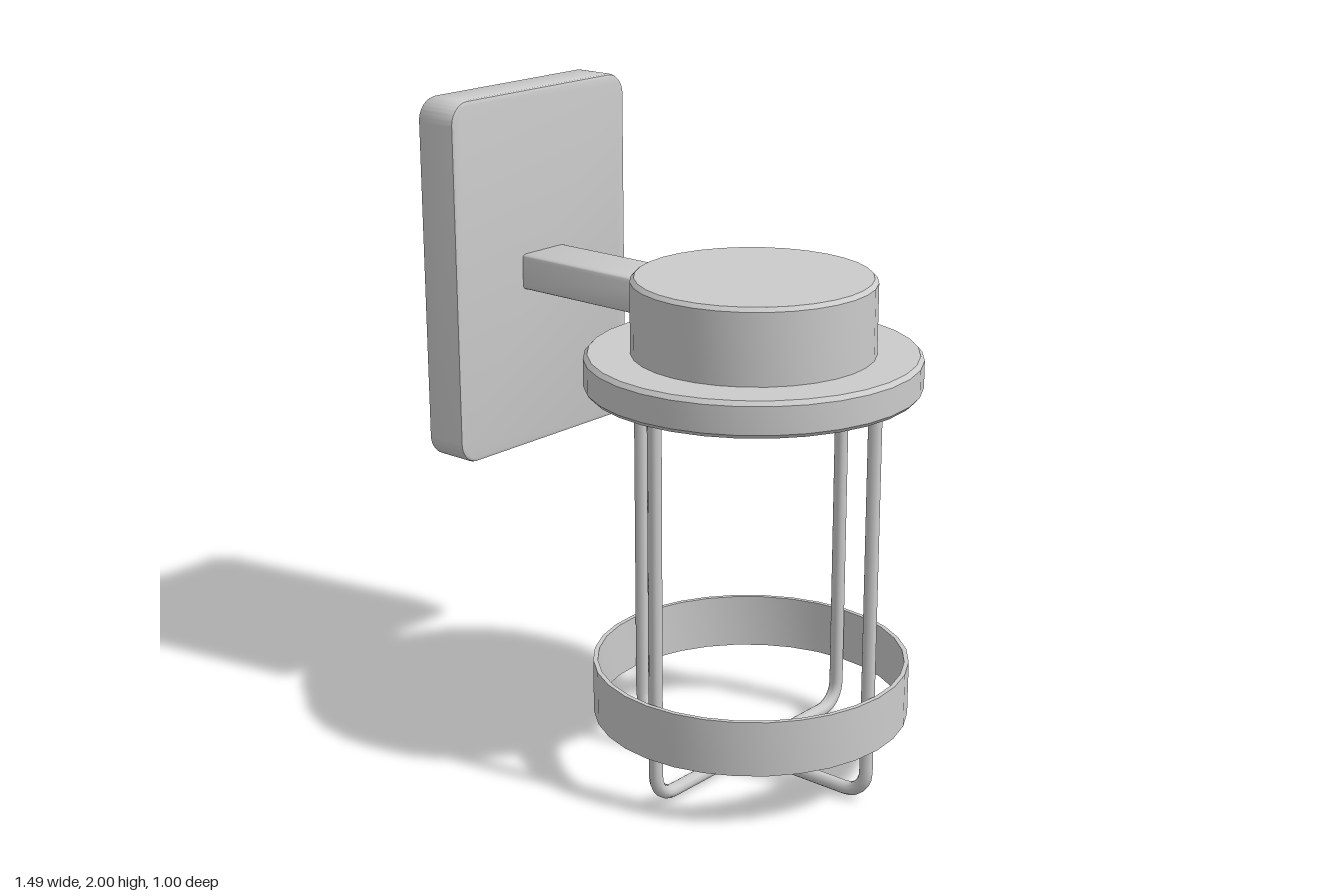
import * as THREE from 'three';
import { toCreasedNormals } from 'three/addons/utils/BufferGeometryUtils.js';

const AXIS_X = 0.243; // centre line of the lantern
const material = new THREE.MeshStandardMaterial({ color: 0xcccccc });

function addMesh(parent, name, geometry, crease = 0.5) {
  const mesh = new THREE.Mesh(toCreasedNormals(geometry, crease), material);
  mesh.name = name;
  parent.add(mesh);
  return mesh;
}

// Lathe from [radius, y] pairs
function turned(points, segments = 32) {
  return new THREE.LatheGeometry(points.map(([r, y]) => new THREE.Vector2(r, y)), segments);
}

// Rounded rectangle (width along z, height along y) extruded along x, with a small bevel
function roundedSlab(width, height, depth, radius, bevel) {
  const w = width / 2 - bevel, h = height / 2 - bevel, r = radius - bevel;
  const shape = new THREE.Shape();
  shape.absarc(w - r, h - r, r, 0, Math.PI / 2);
  shape.absarc(-w + r, h - r, r, Math.PI / 2, Math.PI);
  shape.absarc(-w + r, -h + r, r, Math.PI, Math.PI * 1.5);
  shape.absarc(w - r, -h + r, r, Math.PI * 1.5, Math.PI * 2);
  shape.closePath();
  const geometry = new THREE.ExtrudeGeometry(shape, {
    depth: depth - 2 * bevel, bevelThickness: bevel, bevelSize: bevel, bevelSegments: 2, curveSegments: 8,
  });
  return geometry.translate(0, 0, bevel - depth / 2).rotateY(Math.PI / 2);
}

// U-shaped rod in the xy plane with rounded lower corners
function cageRod(reach, bottom, top, bend, radius) {
  const v = (x, y) => new THREE.Vector3(x, y, 0);
  const path = [v(-reach, top), v(-reach, bottom + bend)];
  const steps = 6;
  for (const side of [-1, 1]) {
    for (let i = 0; i <= steps; i++) {
      const a = ((side < 0 ? i : steps - i) / steps) * Math.PI / 2;
      path.push(v(side * (reach - bend + bend * Math.cos(a)), bottom + bend - bend * Math.sin(a)));
    }
  }
  path.push(v(reach, top));
  const curve = new THREE.CurvePath();
  for (let i = 1; i < path.length; i++) {
    if (path[i].distanceTo(path[i - 1]) > 1e-5) curve.add(new THREE.LineCurve3(path[i - 1], path[i]));
  }
  return new THREE.TubeGeometry(curve, 160, radius, 10, false);
}

export function createModel() {
  const model = new THREE.Group();
  model.name = 'wallLantern';

  // Wall plate and arm
  addMesh(model, 'wallPlate', roundedSlab(0.76, 1.13, 0.145, 0.07, 0.01)).position.set(-0.6725, 1.435, 0);
  addMesh(model, 'arm', roundedSlab(0.19, 0.112, 0.62, 0.014, 0.004)).position.set(-0.3, 1.435, 0);

  const lantern = new THREE.Group();
  lantern.name = 'lantern';
  lantern.position.x = AXIS_X;
  model.add(lantern);

  // Canopy: recessed underside with socket hole, flange, then the drum on top
  addMesh(lantern, 'canopy', turned([
    [0, 1.3], [0.095, 1.3], [0.095, 1.245], [0.18, 1.245], [0.305, 1.225], [0.305, 1.24],
    [0.445, 1.24], [0.445, 1.21], [0.49, 1.21], [0.5, 1.222], [0.5, 1.305], [0.488, 1.318],
    [0.362, 1.318], [0.362, 1.533], [0.35, 1.545], [0, 1.545],
  ]));

  // Two crossing cage rods
  addMesh(lantern, 'cageRodAcross', cageRod(0.443, 0.022, 1.23, 0.075, 0.021), 0.9);
  addMesh(lantern, 'cageRodFrontToBack', cageRod(0.443, 0.034, 1.23, 0.075, 0.021), 0.9).rotation.y = Math.PI / 2;

  // Band around the cage
  addMesh(lantern, 'cageBand', turned([
    [0.468, 0.35], [0.468, 0.18], [0.482, 0.18], [0.482, 0.35], [0.468, 0.35],
  ]));

  return model;
}
